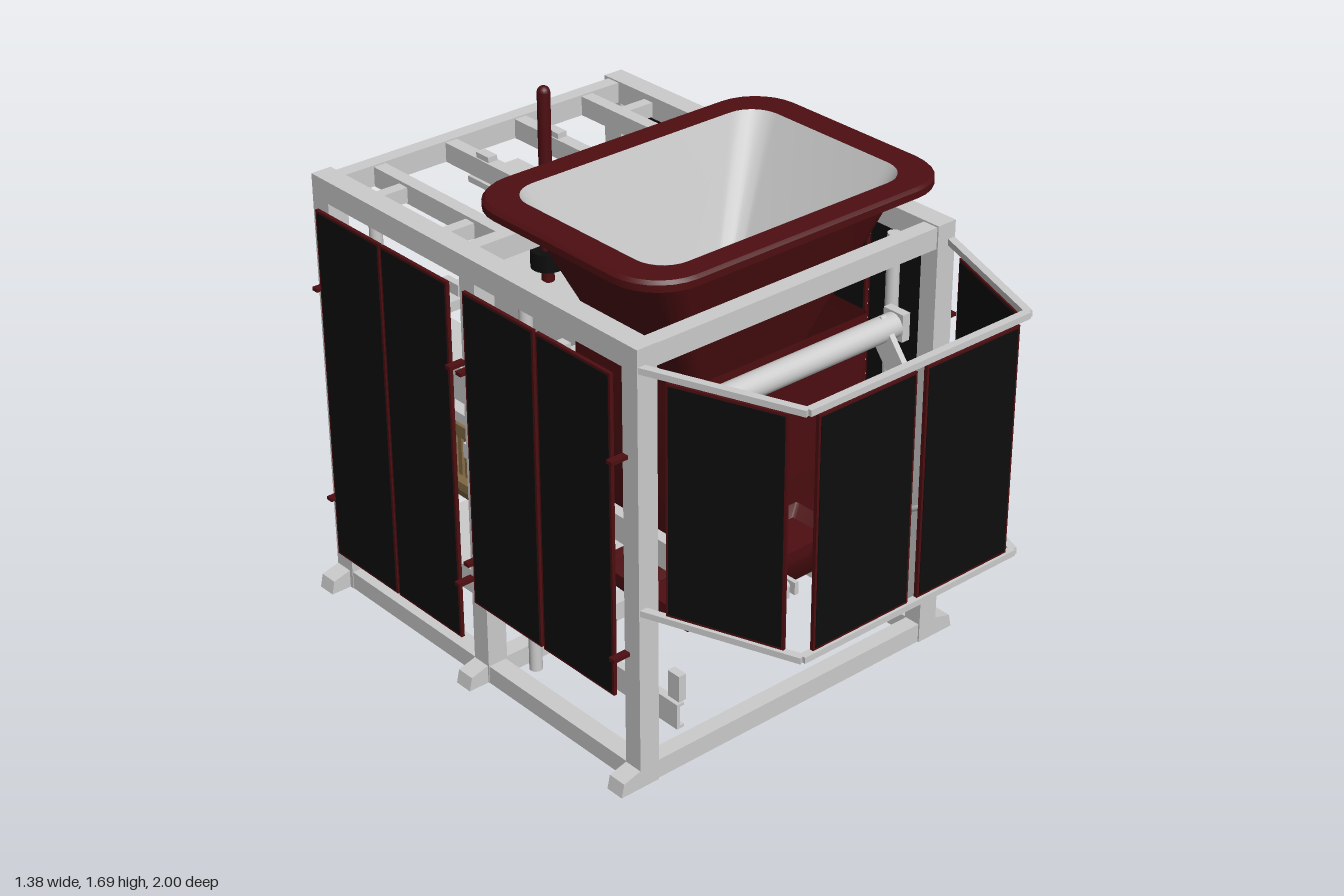
import * as THREE from 'three';
import { toCreasedNormals } from 'three/addons/utils/BufferGeometryUtils.js';

const mat = (color) => new THREE.MeshStandardMaterial({ color, side: THREE.DoubleSide });

export function createModel() {
  const root = new THREE.Group();
  const grey = mat(0xcccccc), red = mat(0x4e0e11), black = mat(0x0d0d0d), tan = mat(0x846b45);

  const add = (name, geo, material, parent = root) => {
    const m = new THREE.Mesh(geo, material);
    m.name = name;
    parent.add(m);
    return m;
  };
  // Box from its limits on each axis
  const box = (name, x0, x1, y0, y1, z0, z1, material = grey) => {
    const m = add(name, new THREE.BoxGeometry(x1 - x0, y1 - y0, z1 - z0), material);
    m.position.set((x0 + x1) / 2, (y0 + y1) / 2, (z0 + z1) / 2);
    return m;
  };
  // The same box on both sides
  const pair = (name, x0, x1, ...rest) => {
    box(name, x0, x1, ...rest);
    box(name, -x1, -x0, ...rest);
  };
  // Round bar between two points
  const rod = (name, a, b, r, material = grey, sides = 20) => {
    const p = new THREE.Vector3(...a), q = new THREE.Vector3(...b);
    const m = add(name, new THREE.CylinderGeometry(r, r, p.distanceTo(q), sides), material);
    m.position.copy(p).lerp(q, 0.5);
    m.quaternion.setFromUnitVectors(new THREE.Vector3(0, 1, 0), q.sub(p).normalize());
  };
  // Square bar between two points of equal height
  const bar = (name, a, b, h, w, y) => {
    const dx = b[0] - a[0], dz = b[1] - a[1];
    const m = add(name, new THREE.BoxGeometry(w, h, Math.hypot(dx, dz)), grey);
    m.position.set((a[0] + b[0]) / 2, y, (a[1] + b[1]) / 2);
    m.rotation.y = Math.atan2(dx, dz);
  };
  // Skin over rounded rectangles, each [halfX, halfZ, radius, y, centreZ]
  const loft = (name, sections, material) => {
    const pos = [], idx = [], n = 32;
    for (const [hx, hz, r, y, cz] of sections) {
      for (let i = 0; i < n; i++) {
        const q = Math.floor(i / 8), a = (q + (i % 8) / 7) * Math.PI / 2;
        const sx = q === 0 || q === 3 ? 1 : -1, sz = q < 2 ? 1 : -1;
        pos.push(sx * (hx - r) + r * Math.cos(a), y, cz + sz * (hz - r) + r * Math.sin(a));
      }
    }
    for (let s = 0; s < sections.length - 1; s++) {
      for (let i = 0; i < n; i++) {
        const a = s * n + i, b = s * n + (i + 1) % n;
        idx.push(a, a + n, b, b, a + n, b + n);
      }
    }
    const g = new THREE.BufferGeometry();
    g.setAttribute('position', new THREE.Float32BufferAttribute(pos, 3));
    g.setIndex(idx);
    add(name, toCreasedNormals(g, 0.5), material);
  };
  // Dark sheet in a thin red frame, facing +z before it is turned
  const panel = (name, w, h, x, y, z, turn) => {
    const g = new THREE.Group();
    g.name = name;
    add('panelFrame', new THREE.BoxGeometry(w, h, 0.012), red, g);
    add('panelSheet', new THREE.BoxGeometry(w - 0.016, h - 0.016, 0.016), black, g);
    g.position.set(x, y, z);
    g.rotation.y = turn;
    root.add(g);
  };

  // Main frame: posts, feet and beams
  const footShape = new THREE.Shape([[0.6, 0], [0.69, 0], [0.68, 0.045], [0.617, 0.062], [0.6, 0.062]]
    .map(([x, y]) => new THREE.Vector2(x, y)));
  const footGeo = new THREE.ExtrudeGeometry(footShape, { depth: 0.065, bevelEnabled: false });
  for (const [z0, z1] of [[-1, -0.92], [-0.27, -0.2], [0.455, 0.52]]) {
    pair('post', 0.545, 0.617, 0, 1.4, z0, z1);
    box('baseCrossBeam', -0.55, 0.55, 0, 0.065, z0 + 0.005, z1 - 0.005);
    add('foot', footGeo, grey).position.z = z0;
    const mirrored = add('foot', footGeo, grey);
    mirrored.rotation.y = Math.PI;
    mirrored.position.z = z0 + 0.065;
  }
  pair('baseSideBeam', 0.55, 0.615, 0, 0.062, -0.99, 0.51);
  pair('topSideBeam', 0.545, 0.617, 1.385, 1.46, -1, 0.52);
  box('topFrontBeam', -0.55, 0.55, 1.385, 1.455, 0.46, 0.515);
  box('topBackBeam', -0.55, 0.55, 1.385, 1.455, -0.98, -0.93);
  box('topMiddleBeam', -0.55, 0.55, 1.385, 1.455, -0.32, -0.27);

  // Roof bars over the press
  pair('roofBar', 0.115, 0.16, 1.385, 1.45, -0.93, -0.3);
  pair('roofBar', 0.39, 0.435, 1.385, 1.45, -0.93, -0.3);
  for (const z of [-0.78, -0.45]) pair('roofBrace', 0.435, 0.55, 1.39, 1.44, z - 0.02, z + 0.02);
  for (const z of [-0.43, -0.75]) pair('roofLug', 0.12, 0.155, 1.45, 1.468, z - 0.03, z + 0.03);
  box('roofPlate', -0.1, 0.1, 1.31, 1.33, -0.9, -0.3);

  // Guide columns
  for (const x of [-0.51, 0.51]) {
    for (const z of [0.375, -0.1, -0.35, -0.83]) rod('guideColumn', [x, 0.06, z], [x, 1.4, z], 0.021);
  }

  // Side panels and their hinges
  for (const s of [-1, 1]) {
    for (const [z, y0] of [[0.298, 0.32], [-0.036, 0.32], [-0.433, 0.155], [-0.762, 0.155]]) {
      panel('sidePanel', 0.322, 1.38 - y0, s * 0.657, (1.38 + y0) / 2, z, Math.PI / 2);
    }
    for (const z of [0.47, -0.21, -0.26, -0.93]) {
      for (const y of [1.11, z > -0.25 ? 0.455 : 0.36]) {
        box('hinge', s * 0.65 - 0.03, s * 0.65 + 0.03, y - 0.005, y + 0.007, z - 0.012, z + 0.012, red);
      }
    }
  }

  // Front guard: rails and panels
  for (const y of [0.612, 1.396]) {
    bar('guardRail', [-0.425, 0.988], [0.425, 0.988], 0.02, 0.025, y);
    for (const s of [-1, 1]) bar('guardRail', [s * 0.605, 0.51], [s * 0.425, 0.99], 0.02, 0.025, y);
  }
  for (const s of [-1, 1]) {
    panel('frontPanel', 0.37, 0.75, s * 0.204, 1.0, 0.988, 0);
    panel('anglePanel', 0.37, 0.75, s * 0.508, 1.0, 0.763, s * (Math.PI / 2 - 0.36));
  }

  // Hopper: red shell, grey lining, red floor
  loft('hopperShell', [
    [0.485, 0.338, 0.1, 1.63, 0.125], [0.575, 0.415, 0.155, 1.632, 0.125], [0.587, 0.424, 0.165, 1.622, 0.125],
    [0.587, 0.424, 0.165, 1.6, 0.125], [0.485, 0.345, 0.1, 1.6, 0.125], [0.17, 0.15, 0.04, 0.96, 0.12]], red);
  loft('hopperLining', [[0.484, 0.337, 0.1, 1.63, 0.125], [0.162, 0.14, 0.04, 0.98, 0.12]], grey);
  box('hopperFloor', -0.162, 0.162, 0.96, 0.985, -0.02, 0.26, red);
  pair('liningSlot', 0.232, 0.242, 1.13, 1.18, 0.08, 0.18, black);

  // Feed chute and catch trough
  loft('feedChute', [[0.37, 0.24, 0.02, 1.2, 0.18], [0.37, 0.24, 0.02, 0.85, 0.18], [0.33, 0.2, 0.02, 0.64, 0.2]], red);
  for (const s of [-1, 1]) {
    const wing = box('chuteWing', s * 0.315 - 0.015, s * 0.315 + 0.015, 0.49, 0.66, 0.2, 0.44, red);
    wing.rotation.z = -s * 0.55;
  }
  loft('catchTrough', [
    [0.42, 0.17, 0.01, 0.49, 0.28], [0.435, 0.18, 0.01, 0.52, 0.28], [0.435, 0.18, 0.01, 0.48, 0.28],
    [0.335, 0.13, 0.01, 0.37, 0.28]], red);
  box('troughFloor', -0.334, 0.334, 0.37, 0.38, 0.152, 0.408, red);

  // Front roller, its brackets and the two rams
  rod('frontRoller', [-0.4, 1.175, 0.49], [0.4, 1.175, 0.49], 0.04);
  for (const s of [-1, 1]) {
    box('rollerBracket', s * 0.415 - 0.015, s * 0.415 + 0.015, 1.13, 1.22, 0.45, 0.53);
    const arm = box('rollerArm', s * 0.355 - 0.01, s * 0.355 + 0.01, 1.07, 1.15, 0.42, 0.64);
    arm.rotation.x = 0.9;
    rod('ram', [s * 0.355, 0.5, 0.44], [s * 0.355, 0.75, 0.84], 0.009, grey, 12);
    for (const dx of [-0.017, 0.017]) {
      box('ramFork', s * 0.355 + dx - 0.007, s * 0.355 + dx + 0.007, 0.73, 0.77, 0.82, 0.87);
    }
    rod('ramPin', [s * 0.355 - 0.025, 0.75, 0.84], [s * 0.355 + 0.025, 0.75, 0.84], 0.012, grey, 12);
    box('ramFoot', s * 0.355 - 0.022, s * 0.355 + 0.022, 0.49, 0.525, 0.42, 0.475);
  }
  box('carriageBar', -0.53, 0.53, 0.74, 0.79, -0.13, -0.07);

  // Upper channel rails beside the chute
  pair('upperRailWeb', 0.425, 0.433, 0.635, 0.725, -0.25, 0.45);
  for (const y of [0.635, 0.717]) pair('upperRailFlange', 0.395, 0.428, y, y + 0.008, -0.25, 0.45);

  // Press head: two window plates with lugs, on sleeves around the columns
  for (const [y, hx] of [[0.95, 0.41], [0.7, 0.42]]) {
    box('pressBackBar', -hx, hx, y, y + 0.035, -0.9, -0.785);
    box('pressFrontBar', -hx, hx, y, y + 0.035, -0.31, -0.26);
    pair('pressSideBar', 0.335, hx, y, y + 0.035, -0.79, -0.3);
    pair('pressRib', 0.1, 0.16, y, y + 0.06, -0.89, -0.28);
    for (const x of [0.22, 0.28, 0.37]) {
      pair('pressLug', x - 0.012, x + 0.012, y + 0.03, y + 0.075, -0.88, -0.8);
      pair('pressLug', x - 0.012, x + 0.012, y + 0.03, y + 0.075, -0.31, -0.27);
    }
  }
  box('pressPlate', -0.1, 0.1, 1.0, 1.03, -0.9, -0.3);
  pair('pressWing', 0.4, 0.46, 0.92, 0.99, -0.88, -0.3);
  pair('columnSleeve', 0.445, 0.55, 0.9, 1.02, -0.9, -0.76);
  pair('columnSleeve', 0.445, 0.55, 0.9, 1.02, -0.42, -0.28);
  pair('sleeveTie', 0.45, 0.54, 0.93, 0.99, -0.76, -0.42);
  pair('lowerSleeve', 0.4, 0.54, 0.7, 0.75, -0.87, -0.79);
  pair('lowerSleeve', 0.4, 0.54, 0.7, 0.75, -0.39, -0.31);

  // Press spindle with pointer and its diamond plate
  rod('spindle', [0, 1.03, -0.635], [0, 1.67, -0.635], 0.021, red);
  add('spindleTip', new THREE.SphereGeometry(0.021, 20, 10), red).position.set(0, 1.67, -0.635);
  box('pointer', 0, 0.21, 1.4, 1.41, -0.638, -0.63, black);
  const flange = add('spindleFlange', new THREE.CylinderGeometry(0.06, 0.06, 0.02, 4), grey);
  flange.scale.x = 0.6;
  flange.position.set(0, 1.34, -0.635);
  rod('spindleNut', [0, 1.08, -0.635], [0, 1.14, -0.635], 0.055, black);

  // Mould: upper frame, slatted wall and tapered tray
  loft('mouldTop', [[0.33, 0.23, 0.01, 0.66, -0.58], [0.39, 0.3, 0.01, 0.66, -0.58], [0.39, 0.3, 0.01, 0.62, -0.58],
    [0.35, 0.26, 0.01, 0.58, -0.58]], tan);
  box('mouldCore', -0.33, 0.33, 0.42, 0.64, -0.81, -0.325, tan);
  for (let i = 0; i < 22; i++) {
    const x = -0.336 + i * 0.032;
    box('slat', x - 0.009, x + 0.009, 0.43, 0.59, -0.847, -0.823, tan);
  }
  for (let i = 0; i < 16; i++) {
    const z = -0.82 + i * 0.032;
    pair('slat', 0.33, 0.354, 0.43, 0.59, z - 0.009, z + 0.009, tan);
  }
  loft('mouldTray', [[0.34, 0.25, 0.01, 0.44, -0.58], [0.4, 0.31, 0.01, 0.46, -0.58], [0.4, 0.31, 0.01, 0.43, -0.58],
    [0.31, 0.23, 0.01, 0.32, -0.58]], tan);
  box('mouldTrayFloor', -0.308, 0.308, 0.32, 0.33, -0.808, -0.352, tan);

  // Lower channel rails and sliding sheet
  pair('railWeb', 0.445, 0.457, 0.125, 0.212, -0.92, 0.5);
  for (const y of [0.125, 0.202]) pair('railFlange', 0.43, 0.45, y, y + 0.01, -0.92, 0.5);
  pair('railGuide', 0.43, 0.458, 0.228, 0.318, 0.46, 0.51);
  box('slidingSheet', -0.43, 0.43, 0.138, 0.15, -0.92, -0.25);

  return root;
}
